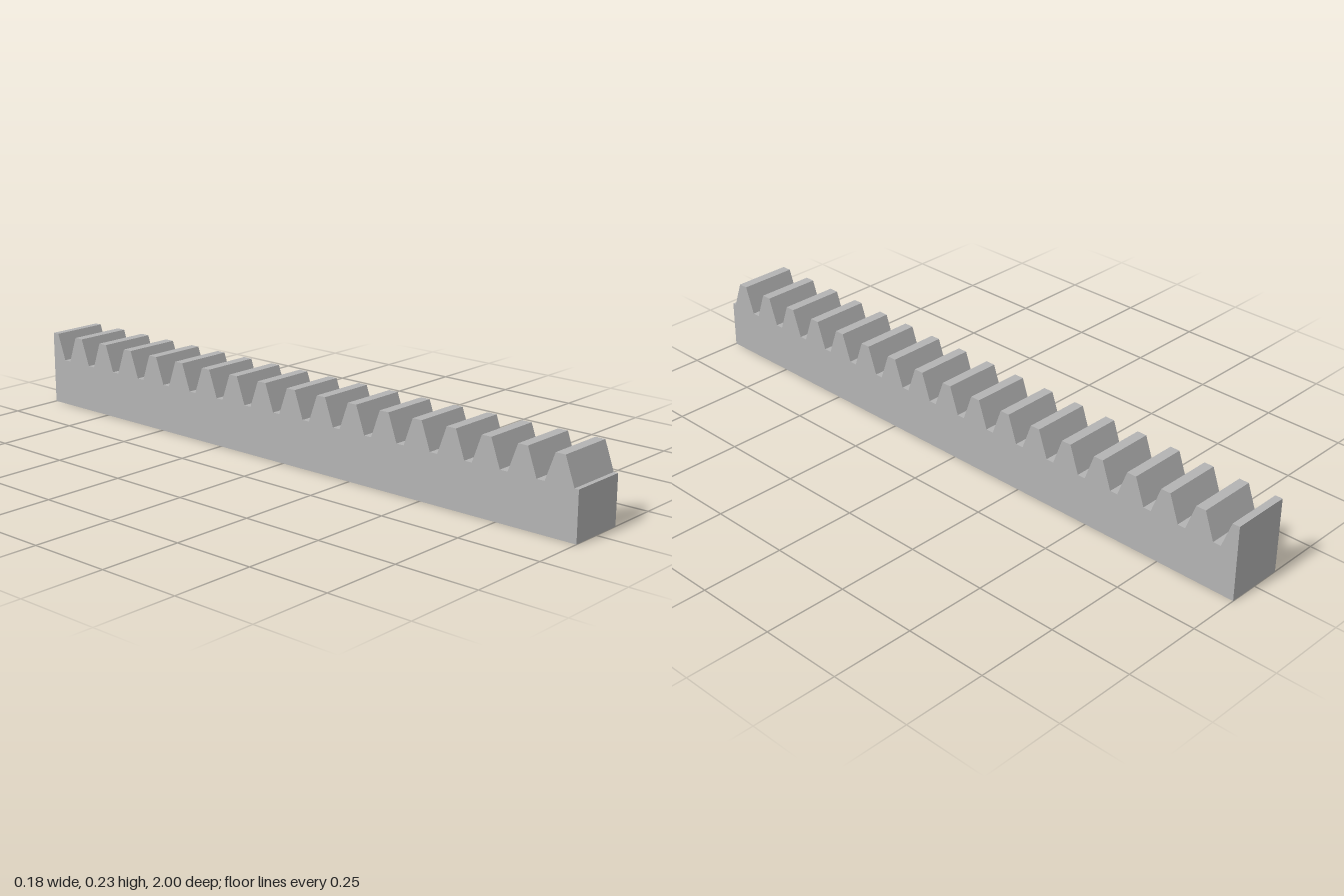
import * as THREE from 'three';

const WIDTH = 0.18, ROOT = 0.145, TIP = 0.227;   // bar width, gullet and tooth-tip heights
const PITCH = 0.1138, TEETH = 18, FIRST = 0.942; // spacing, count, centre of the front tooth
const TIP_HALF = 0.015, ROOT_HALF = 0.0447;      // half widths of a tooth at tip and root

export function createModel() {
  const group = new THREE.Group();
  group.name = 'gearRack';
  const steel = new THREE.MeshStandardMaterial({ color: 0xb4b4b4 });
  steel.name = 'grey steel';

  // Side profile: shape x runs along z, from the front end to the back end
  const profile = new THREE.Shape();
  profile.moveTo(-1, 0);
  profile.lineTo(1, 0);
  profile.lineTo(1, ROOT);
  for (let i = 0; i < TEETH; i++) {
    const c = FIRST - i * PITCH;
    profile.lineTo(c + ROOT_HALF, ROOT);
    profile.lineTo(c + TIP_HALF, TIP);
    // The last tooth is cut off square by the back end
    if (i === TEETH - 1) {
      profile.lineTo(-1, TIP);
    } else {
      profile.lineTo(c - TIP_HALF, TIP);
      profile.lineTo(c - ROOT_HALF, ROOT);
    }
  }
  profile.closePath();

  // Toothed bar, extruded across its width
  const geometry = new THREE.ExtrudeGeometry(profile, { depth: WIDTH, bevelEnabled: false });
  geometry.translate(0, 0, -WIDTH / 2);
  geometry.rotateY(-Math.PI / 2);
  const bar = new THREE.Mesh(geometry, steel);
  bar.name = 'toothedBar';
  group.add(bar);
  return group;
}
